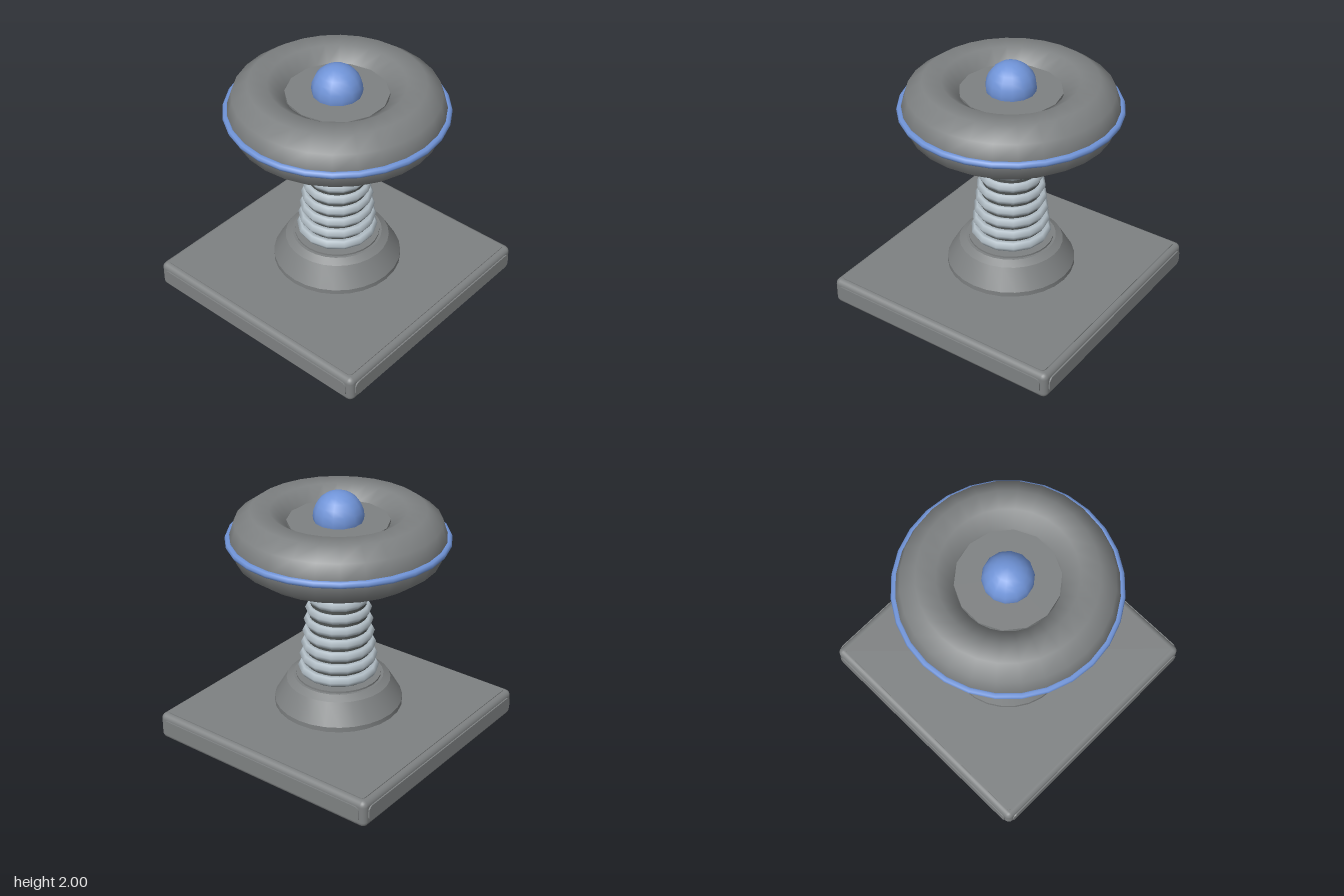
import * as THREE from 'three';
import { toCreasedNormals } from 'three/addons/utils/BufferGeometryUtils.js';
import { RoundedBoxGeometry } from 'three/addons/geometries/RoundedBoxGeometry.js';

const mat = (name, color) => new THREE.MeshStandardMaterial({ name, color });

export function createModel() {
  const grey = mat('metal grey', 0x7e8182);
  const dark = mat('dark grey', 0x4a4e4d);
  const silver = mat('silver', 0xb3bfc7);
  const blue = mat('blue', 0x7094d8);
  const model = new THREE.Group();
  model.name = 'pylon';

  const add = (name, geometry, material, y = 0, parent = model) => {
    const mesh = new THREE.Mesh(geometry, material);
    mesh.name = name;
    mesh.position.y = y;
    parent.add(mesh);
    return mesh;
  };
  // Horizontal ring around the y axis
  const ring = (radius, tube, sides, segments) =>
    new THREE.TorusGeometry(radius, tube, sides, segments).rotateX(Math.PI / 2);

  // Rounded panel lying in the xy plane, its outer face at z = 0
  const panel = (w, h, r) => {
    const s = new THREE.Shape();
    const x = w / 2, y = h / 2;
    s.absarc(x - r, y - r, r, 0, Math.PI / 2);
    s.absarc(-x + r, y - r, r, Math.PI / 2, Math.PI);
    s.absarc(-x + r, -y + r, r, Math.PI, Math.PI * 1.5);
    s.absarc(x - r, -y + r, r, Math.PI * 1.5, Math.PI * 2);
    s.closePath();
    return new THREE.ExtrudeGeometry(s, { depth: 0.02, bevelEnabled: false, curveSegments: 4 })
      .translate(0, 0, -0.02);
  };

  // Square base: rounded slab with a raised panel on every face
  const base = new THREE.Group();
  base.name = 'base';
  model.add(base);
  add('baseSlab', new RoundedBoxGeometry(1.98, 0.216, 1.98, 3, 0.045), grey, 0.115, base);
  for (let i = 0; i < 4; i++) {
    const side = panel(1.89, 0.125, 0.04).translate(0, 0, 1).rotateY(i * Math.PI / 2);
    add('sidePanel', side, grey, 0.117, base);
  }
  add('topPanel', panel(1.89, 1.89, 0.03).rotateX(-Math.PI / 2), grey, 0.23, base);
  add('bottomPanel', panel(1.89, 1.89, 0.03).rotateX(Math.PI / 2), grey, 0, base);

  // Conical foot
  const footProfile = [
    [0.47, 0.22], [0.47, 0.24], [0.5, 0.252], [0.5, 0.29], [0.405, 0.455],
    [0.35, 0.49], [0.33, 0.49], [0.33, 0.505], [0, 0.505],
  ].map(([r, y]) => new THREE.Vector2(r, y));
  add('foot', toCreasedNormals(new THREE.LatheGeometry(footProfile, 28), 0.4), grey);

  // Tapered column with insulator rings
  add('column', new THREE.CylinderGeometry(0.178, 0.265, 1.04, 28), dark, 1.0);
  for (let i = 0; i < 9; i++) {
    add('insulatorRing', ring(0.272 - i * 0.0119, 0.042, 6, 14), silver, 0.56 + i * 0.1);
  }

  // Ring head with a filled hub, blue band and dome
  add('head', ring(0.58, 0.234, 10, 28), grey, 1.64);
  add('hub', new THREE.CylinderGeometry(0.385, 0.385, 0.275, 14).rotateY(Math.PI / 2), grey, 1.64);
  add('band', ring(0.815, 0.027, 8, 28), blue, 1.64);
  add('dome', new THREE.SphereGeometry(0.19, 14, 12), blue, 1.81);

  return model;
}
